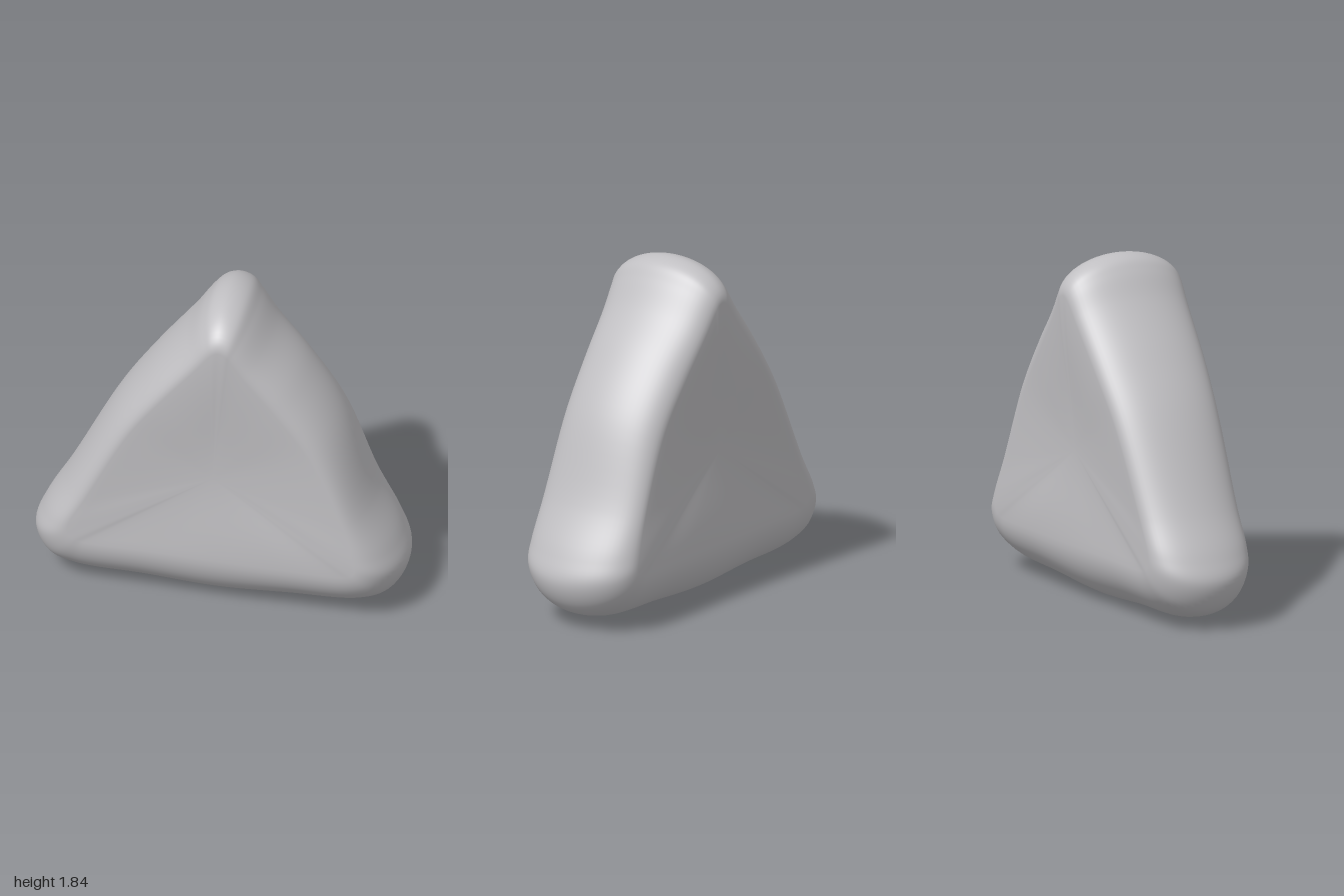
import * as THREE from 'three';

const SEGMENTS = 160; // around the outline
const RIM = 14;       // rings from the equator to the face edge
const FACE = 12;      // rings from the face edge to the face centre

// Each row: outline x, y at mid depth, then face edge x, y and half depth
const SECTIONS = [
  [0.04, 1.845, 0.04, 1.65, 0.345], [0.13, 1.815, 0.075, 1.635, 0.345],
  [0.19, 1.74, 0.1, 1.6, 0.342], [0.285, 1.6, 0.175, 1.49, 0.335],
  [0.455, 1.4, 0.33, 1.29, 0.325], [0.65, 1.107, 0.51, 1.03, 0.318],
  [0.82, 0.66, 0.69, 0.62, 0.33], [0.955, 0.41, 0.755, 0.43, 0.342],
  [1.0, 0.27, 0.77, 0.36, 0.345], [0.93, 0.12, 0.75, 0.325, 0.345],
  [0.77, 0.048, 0.7, 0.31, 0.342], [0.4, 0.025, 0.38, 0.31, 0.335],
  [0.0, 0.003, 0.0, 0.31, 0.32], [-0.4, 0.027, -0.38, 0.31, 0.3],
  [-0.77, 0.046, -0.7, 0.31, 0.288], [-0.93, 0.11, -0.75, 0.325, 0.29],
  [-1.0, 0.26, -0.78, 0.36, 0.29], [-0.955, 0.39, -0.775, 0.42, 0.29],
  [-0.83, 0.61, -0.69, 0.58, 0.29], [-0.57, 1.107, -0.45, 1.04, 0.308],
  [-0.39, 1.37, -0.28, 1.28, 0.325], [-0.18, 1.64, -0.075, 1.535, 0.338],
  [-0.09, 1.77, -0.015, 1.615, 0.343], [-0.035, 1.825, 0.01, 1.64, 0.345],
];

// Smooth closed curves through the outline and the face edge
const closedCurve = (pick) => new THREE.CatmullRomCurve3(
  SECTIONS.map(pick).map((p) => new THREE.Vector3(...p)), true, 'centripetal');
const outline = closedCurve(([x, y]) => [x, y, 0]);
const faceEdge = closedCurve(([, , x, y, z]) => [x, y, z]);
const centre = new THREE.Vector3(0, 0.82, 0.298);

// Point on the front half: quarter ellipse over the rim, then a shallow dished face
function surfacePoint(t, ring) {
  const p = outline.getPoint(t);
  const q = faceEdge.getPoint(t);
  if (ring <= RIM) {
    const a = (ring / RIM) * Math.PI / 2;
    const point = p.clone().lerp(q, 1 - Math.cos(a));
    point.z = q.z * Math.sin(a);
    return point;
  }
  const s = (ring - RIM) / FACE;
  const point = q.clone().lerp(centre, s);
  point.z = THREE.MathUtils.lerp(q.z, centre.z, (1 - Math.cos(Math.PI * s)) / 2);
  return point;
}

// Rings run from the back face, over the rim, to the front face
function cushionGeometry() {
  const last = RIM + FACE - 1;
  const positions = [];
  const index = [];
  for (let r = -last; r <= last; r++) {
    for (let i = 0; i < SEGMENTS; i++) {
      const p = surfacePoint(i / SEGMENTS, Math.abs(r));
      positions.push(p.x, p.y, r < 0 ? -p.z : p.z);
    }
  }
  const rings = 2 * last + 1;
  const back = rings * SEGMENTS;
  const front = back + 1;
  positions.push(centre.x, centre.y, -centre.z, centre.x, centre.y, centre.z);
  for (let i = 0; i < SEGMENTS; i++) {
    const j = (i + 1) % SEGMENTS;
    for (let r = 0; r < rings - 1; r++) {
      const a = r * SEGMENTS + i, b = r * SEGMENTS + j;
      const c = a + SEGMENTS, d = b + SEGMENTS;
      index.push(a, c, b, b, c, d);
    }
    const top = (rings - 1) * SEGMENTS;
    index.push(back, i, j, front, top + j, top + i);
  }
  const geometry = new THREE.BufferGeometry();
  geometry.setAttribute('position', new THREE.Float32BufferAttribute(positions, 3));
  geometry.setIndex(index);
  geometry.computeVertexNormals();
  return geometry;
}

export function createModel() {
  const group = new THREE.Group();
  group.name = 'triangularCushion';
  const grey = new THREE.MeshStandardMaterial({ color: 0xc0bfc2 });
  grey.name = 'light grey';
  const body = new THREE.Mesh(cushionGeometry(), grey);
  body.name = 'cushionBody';
  group.add(body);
  return group;
}
